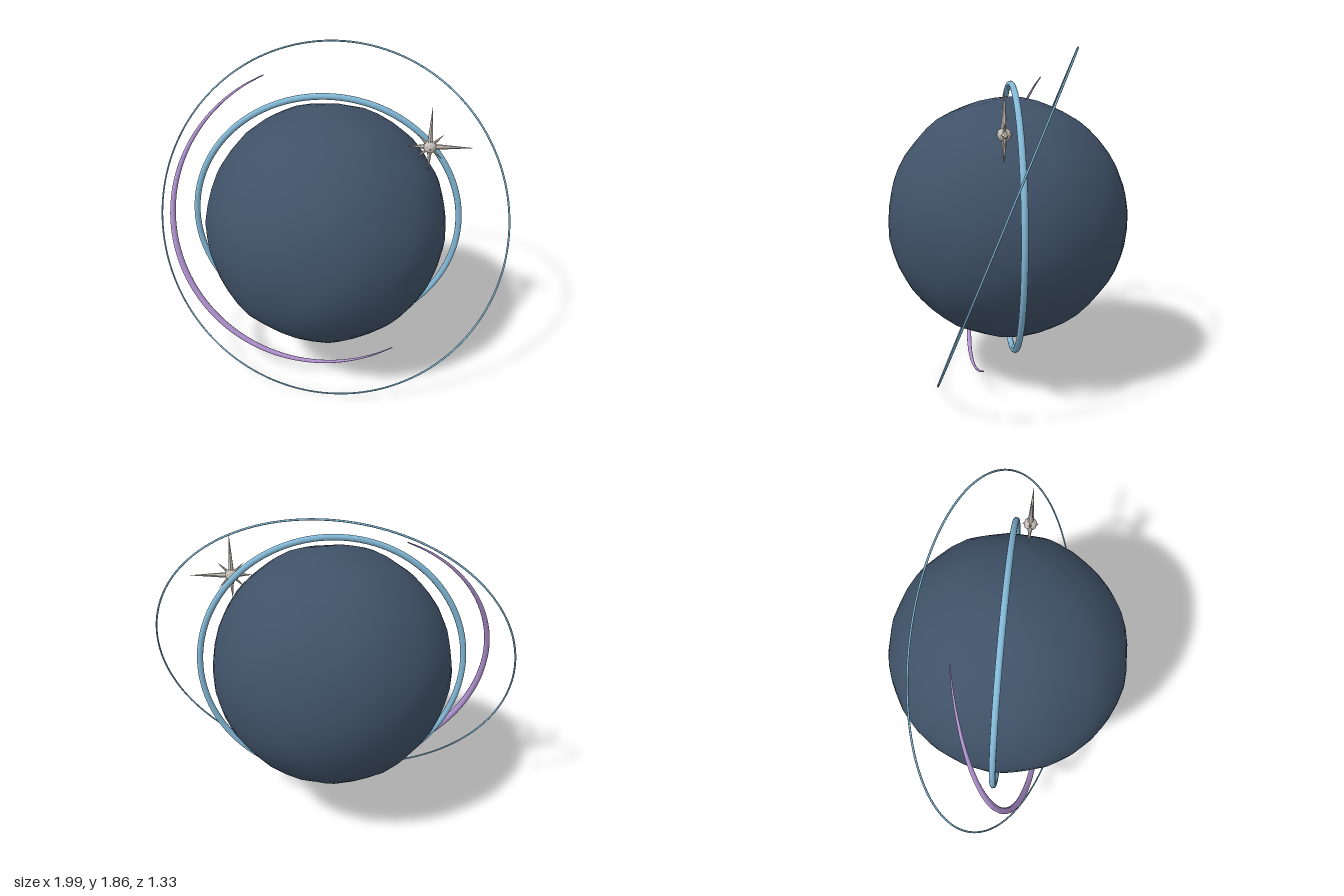
import * as THREE from 'three';
import { mergeVertices } from 'three/addons/utils/BufferGeometryUtils.js';

const CENTRE_Y = 0.942;

function material(name, color) {
  const m = new THREE.MeshStandardMaterial({ color });
  m.name = name;
  return m;
}

// Sphere with slight, smooth lumps
function planetGeometry() {
  let geo = new THREE.IcosahedronGeometry(1, 8);
  geo.deleteAttribute('normal');
  geo.deleteAttribute('uv');
  geo = mergeVertices(geo, 1e-4);
  const pos = geo.attributes.position;
  const v = new THREE.Vector3();
  for (let i = 0; i < pos.count; i++) {
    v.fromBufferAttribute(pos, i).normalize();
    const lump = Math.sin(v.x * 9 + 1.3) * Math.sin(v.y * 8 + 0.4) * Math.sin(v.z * 9 + 2.1)
      + 0.5 * Math.sin(v.x * 17 + v.y * 13) * Math.sin(v.z * 19 - v.y * 7);
    v.multiplyScalar(0.666 + 0.006 * lump);
    pos.setXYZ(i, v.x, v.y, v.z);
  }
  geo.computeVertexNormals();
  return geo;
}

// Partial tilted orbit whose thickness fades towards both ends
function arcGeometry() {
  const points = [];
  for (let i = 0; i <= 24; i++) {
    const a = THREE.MathUtils.degToRad(115 + (183.5 * i) / 24);
    const x = Math.cos(a), y = Math.sin(a);
    points.push(new THREE.Vector3(x, y, -0.067 * x - 0.29 * y).setLength(0.872));
  }
  const steps = 96, sides = 10;
  const geo = new THREE.TubeGeometry(new THREE.CatmullRomCurve3(points), steps, 1, sides);
  const pos = geo.attributes.position, nor = geo.attributes.normal;
  for (let i = 0; i < pos.count; i++) {
    const t = Math.floor(i / (sides + 1)) / steps;
    const cut = 1 - (0.003 + 0.015 * Math.sin(Math.PI * t));
    pos.setXYZ(i, pos.getX(i) - nor.getX(i) * cut, pos.getY(i) - nor.getY(i) * cut, pos.getZ(i) - nor.getZ(i) * cut);
  }
  return geo;
}

export function createModel() {
  const model = new THREE.Group();
  model.name = 'ringedPlanet';
  const navy = material('navy', 0x405268);
  const blue = material('skyBlue', 0x82b8d6);
  const violet = material('violet', 0xb294d2);
  const silver = material('silver', 0xc8c2ba);
  silver.flatShading = true;

  const add = (parent, name, geo, mat) => {
    const mesh = new THREE.Mesh(geo, mat);
    mesh.name = name;
    parent.add(mesh);
    return mesh;
  };

  add(model, 'planet', planetGeometry(), navy).position.y = CENTRE_Y;

  // Thick upright ring
  add(model, 'mainRing', new THREE.TorusGeometry(0.737, 0.017, 12, 128), blue)
    .position.set(0, CENTRE_Y, -0.015);

  // Fine tilted ring
  const fineRing = add(model, 'fineRing', new THREE.TorusGeometry(1.0, 0.005, 8, 160), blue);
  fineRing.position.y = CENTRE_Y;
  fineRing.quaternion.setFromUnitVectors(
    new THREE.Vector3(0, 0, 1), new THREE.Vector3(-0.153, 0.375, 0.914).normalize());

  add(model, 'taperedArc', arcGeometry(), violet).position.set(0, 0.945, -0.03);

  // Star: faceted core with long and short spikes
  const star = new THREE.Group();
  star.name = 'star';
  star.position.set(0.54, 1.452, 0.065);
  model.add(star);
  add(star, 'starCore', new THREE.IcosahedronGeometry(0.035, 1), silver);
  const spike = (name, direction, length, radius) => {
    const geo = new THREE.ConeGeometry(radius, length, 6);
    geo.translate(0, length / 2, 0);
    add(star, name, geo, silver).quaternion.setFromUnitVectors(
      new THREE.Vector3(0, 1, 0), direction.normalize());
  };
  const lengths = [0.228, 0.1, 0.23, 0.1, 0.115, 0.1, 0.138, 0.1];
  lengths.forEach((length, i) => {
    const a = (i * Math.PI) / 4;
    const long = i % 2 === 0;
    spike(long ? 'longSpike' : 'shortSpike', new THREE.Vector3(Math.cos(a), Math.sin(a), 0),
      length, long ? 0.017 : 0.012);
  });
  for (const z of [-1, 1]) spike('depthSpike', new THREE.Vector3(0, 0, z), 0.045, 0.014);

  return model;
}
